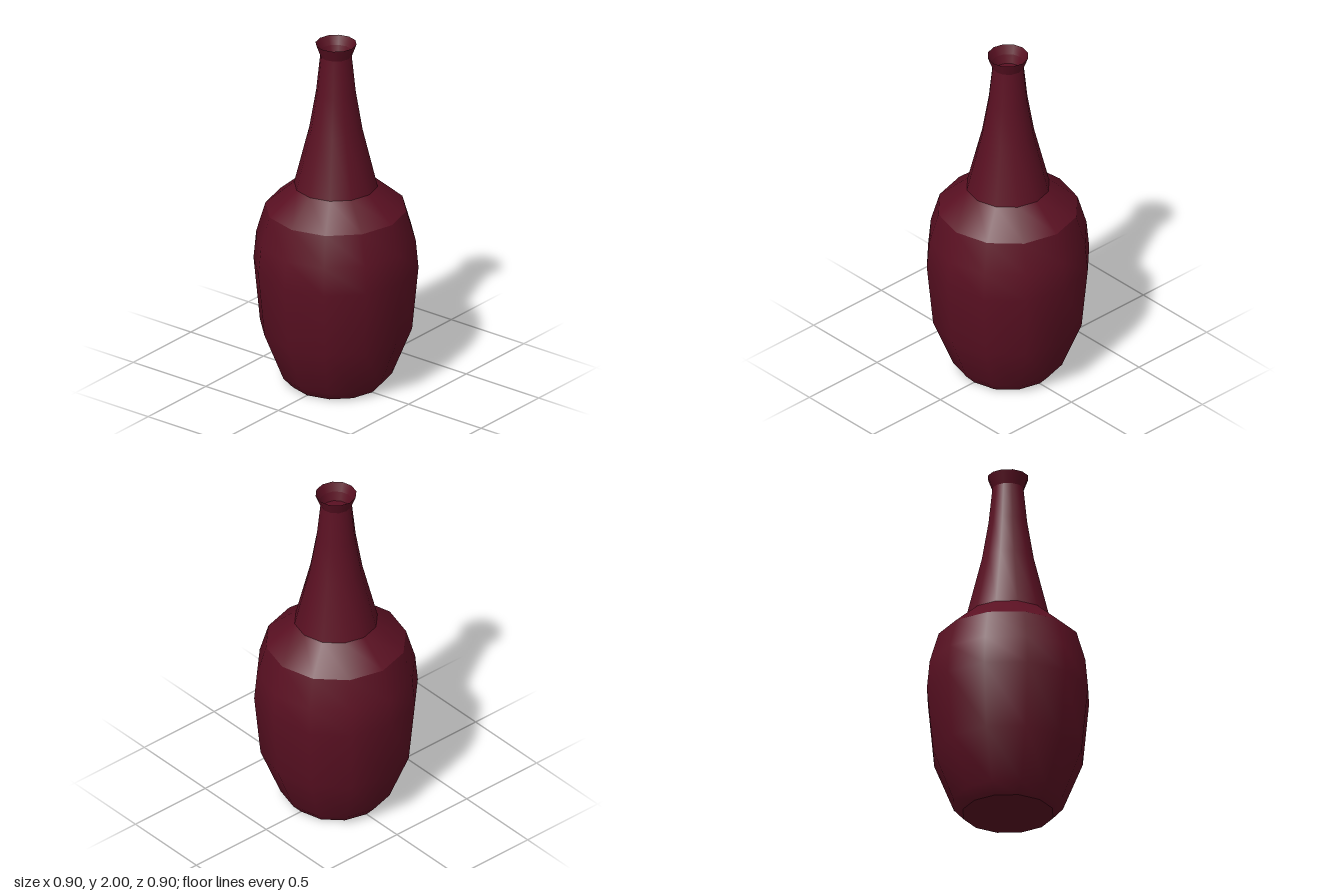
import * as THREE from 'three';

const SIDES = 12;

export function createModel() {
  const bottle = new THREE.Group();
  bottle.name = 'bottle';
  const glass = new THREE.MeshStandardMaterial({ color: 0x5a1022 });

  // Each section is turned on its own, so edges between sections stay sharp.
  // Profiles are [radius, height], running up the outside and down the inside.
  const turn = (name, profile) => {
    const points = profile.map(([r, y]) => new THREE.Vector2(r, y));
    const mesh = new THREE.Mesh(new THREE.LatheGeometry(points, SIDES), glass);
    mesh.name = name;
    bottle.add(mesh);
  };

  turn('base', [[0, 0], [0.25, 0]]);
  turn('body', [[0.25, 0], [0.305, 0.06], [0.415, 0.335], [0.45, 0.7], [0.435, 0.86], [0.385, 1.03]]);
  turn('shoulder', [[0.385, 1.03], [0.228, 1.165]]);
  turn('neck', [[0.228, 1.165], [0.145, 1.5], [0.108, 1.72], [0.086, 1.93]]);
  turn('lip', [[0.086, 1.93], [0.112, 2]]);

  // Flared mouth, narrowing to a closed throat
  turn('mouth', [[0.112, 2], [0.09, 1.95]]);
  turn('throat', [[0.09, 1.95], [0.075, 1.9]]);
  turn('throatFloor', [[0.075, 1.9], [0, 1.9]]);

  return bottle;
}
